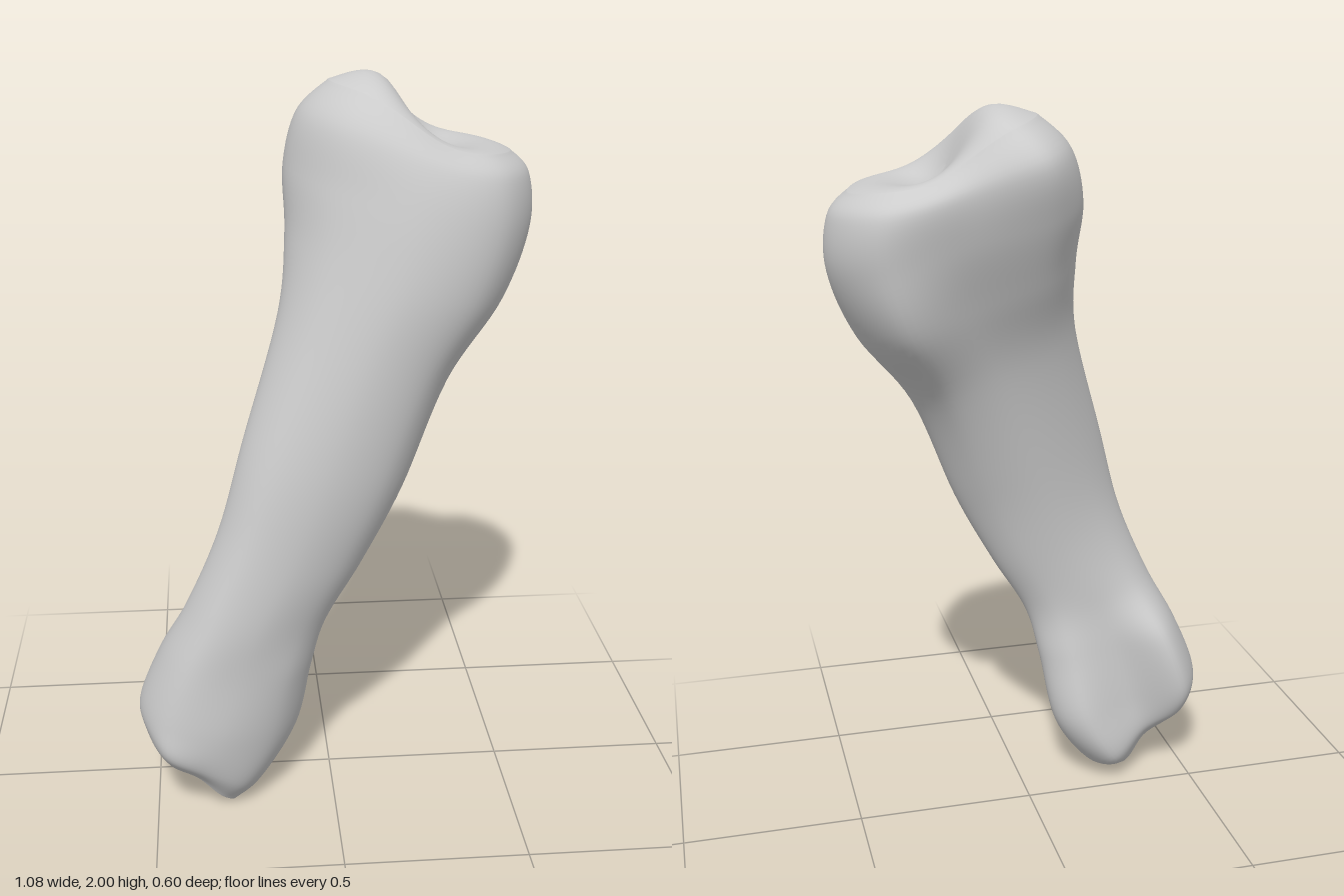
import * as THREE from 'three';

// Cross-sections from the lower end to the upper end. Each one is tilted with the shaft:
// right edge (x, y), left edge (x, y), then z at eight points around the ring:
// right edge, three across the front, left edge, three across the back.
const SECTIONS = [
  [-0.50, 0.18, -0.28, 0.00, 0.15, 0.23, 0.23, 0.21, 0.16, 0.07, 0.08, 0.08],
  [-0.53, 0.25, -0.20, 0.05, 0.14, 0.28, 0.28, 0.23, 0.11, 0.00, 0.035, 0.015],
  [-0.54, 0.33, -0.10, 0.20, 0.14, 0.28, 0.295, 0.22, 0.08, -0.01, 0.03, -0.02],
  [-0.48, 0.48, -0.06, 0.40, 0.15, 0.28, 0.29, 0.23, 0.11, 0.03, 0.035, -0.005],
  [-0.40, 0.63, -0.02, 0.55, 0.17, 0.28, 0.29, 0.225, 0.13, 0.06, 0.045, 0.07],
  [-0.31, 0.84, 0.08, 0.72, 0.17, 0.27, 0.28, 0.22, 0.12, 0.05, 0.035, 0.08],
  [-0.24, 1.08, 0.19, 0.93, 0.14, 0.25, 0.275, 0.22, 0.10, 0.01, -0.005, 0.04],
  [-0.14, 1.40, 0.31, 1.22, 0.06, 0.20, 0.26, 0.21, 0.06, -0.09, -0.085, -0.06],
  [-0.115, 1.60, 0.46, 1.42, -0.02, 0.16, 0.25, 0.19, -0.01, -0.22, -0.18, -0.17],
  [-0.115, 1.76, 0.535, 1.60, -0.08, 0.12, 0.225, 0.165, -0.06, -0.255, -0.25, -0.25],
  [-0.08, 1.89, 0.53, 1.74, -0.09, 0.10, 0.185, 0.14, -0.07, -0.26, -0.275, -0.29],
  [0.00, 1.965, 0.48, 1.80, -0.08, 0.06, 0.13, 0.10, -0.07, -0.21, -0.23, -0.23],
];
const RING_U = [-1, -0.68, 0, 0.68, 1, 0.68, 0, -0.68];
const SIDES = 72, STEPS = 88, CAP_RINGS = 14;

// Smooth interpolation of every column of the section table
function sectionAt(t) {
  const last = SECTIONS.length - 1;
  const k = Math.min(Math.floor(t * last), last - 1), f = t * last - k;
  const row = (i) => SECTIONS[THREE.MathUtils.clamp(i, 0, last)];
  return SECTIONS[0].map((_, c) => {
    const [a, b, d, e] = [row(k - 1)[c], row(k)[c], row(k + 1)[c], row(k + 2)[c]];
    return b + 0.5 * f * (d - a + f * (2 * a - 5 * b + 4 * d - e + f * (3 * (b - d) + e - a)));
  });
}

// One closed ring; s shrinks it to its centre, lift(u, s) moves it along the shaft
function ringPoints(section, s, lift) {
  const [ax, ay, bx, by, ...z] = section;
  const curve = new THREE.CatmullRomCurve3(
    RING_U.map((u, i) => new THREE.Vector3(u, 0, z[i])), true, 'catmullrom', 0.5);
  const midZ = z.reduce((sum, v) => sum + v, 0) / z.length;
  const dx = (bx - ax) / 2, dy = (by - ay) / 2, len = Math.hypot(dx, dy);
  return Array.from({ length: SIDES }, (_, i) => {
    const p = curve.getPoint(i / SIDES);
    const u = p.x * s, h = lift(u, s);
    return [
      (ax + bx) / 2 + dx * u - (dy / len) * h,
      (ay + by) / 2 + dy * u + (dx / len) * h,
      midZ + (p.z - midZ) * s,
    ];
  });
}

const bell = (u, centre, width) => Math.exp(-(((u - centre) / width) ** 2));
// Upper joint: raised knob on one side, shallow dish on the other, with a rounded rim
function upperLift(u, s) {
  const c = 1 - s * s;
  return 0.02 * bell(u, -0.65, 0.45) - 0.03 * bell(u, 0.3, 0.5)
    + c * (0.03 + 0.055 * bell(u, -0.72, 0.55)) - 0.06 * c * c * bell(u, 0.25, 0.6);
}
// Lower joint: two rounded knuckles with a shallow groove between
const lowerLift = (u, s) => 0.02 * bell(u, -0.1, 0.55) - 0.012 * (1 - s * s);

function boneGeometry() {
  const rings = [];
  const shrink = (k) => Math.max(0.01, Math.sin((k / CAP_RINGS) * Math.PI / 2));
  for (let k = 0; k < CAP_RINGS; k++) rings.push(ringPoints(sectionAt(0), shrink(k), lowerLift));
  for (let j = 0; j <= STEPS; j++) {
    // The joint relief fades out into the shaft
    const t = j / STEPS;
    const upper = THREE.MathUtils.smoothstep(t, 0.82, 1);
    const lower = 1 - THREE.MathUtils.smoothstep(t, 0, 0.15);
    rings.push(ringPoints(sectionAt(t), 1, (u, s) => upper * upperLift(u, s) + lower * lowerLift(u, s)));
  }
  for (let k = CAP_RINGS - 1; k >= 0; k--) rings.push(ringPoints(sectionAt(1), shrink(k), upperLift));

  const index = [];
  for (let j = 0; j < rings.length - 1; j++) {
    for (let i = 0; i < SIDES; i++) {
      const n = (i + 1) % SIDES;
      const a = j * SIDES + i, b = j * SIDES + n;
      index.push(a, b, b + SIDES, a, b + SIDES, a + SIDES);
    }
  }
  // Close the tiny holes at both ends
  const top = (rings.length - 1) * SIDES;
  for (let i = 1; i < SIDES - 1; i++) index.push(0, i + 1, i, top, top + i, top + i + 1);

  const geometry = new THREE.BufferGeometry();
  geometry.setAttribute('position', new THREE.Float32BufferAttribute(rings.flat(2), 3));
  geometry.setIndex(index);
  geometry.computeVertexNormals();
  return geometry;
}

export function createModel() {
  const group = new THREE.Group();
  group.name = 'fingerBone';
  const bone = new THREE.Mesh(boneGeometry(), new THREE.MeshStandardMaterial({ color: 0xcccccc }));
  bone.name = 'bone';
  group.add(bone);
  return group;
}
